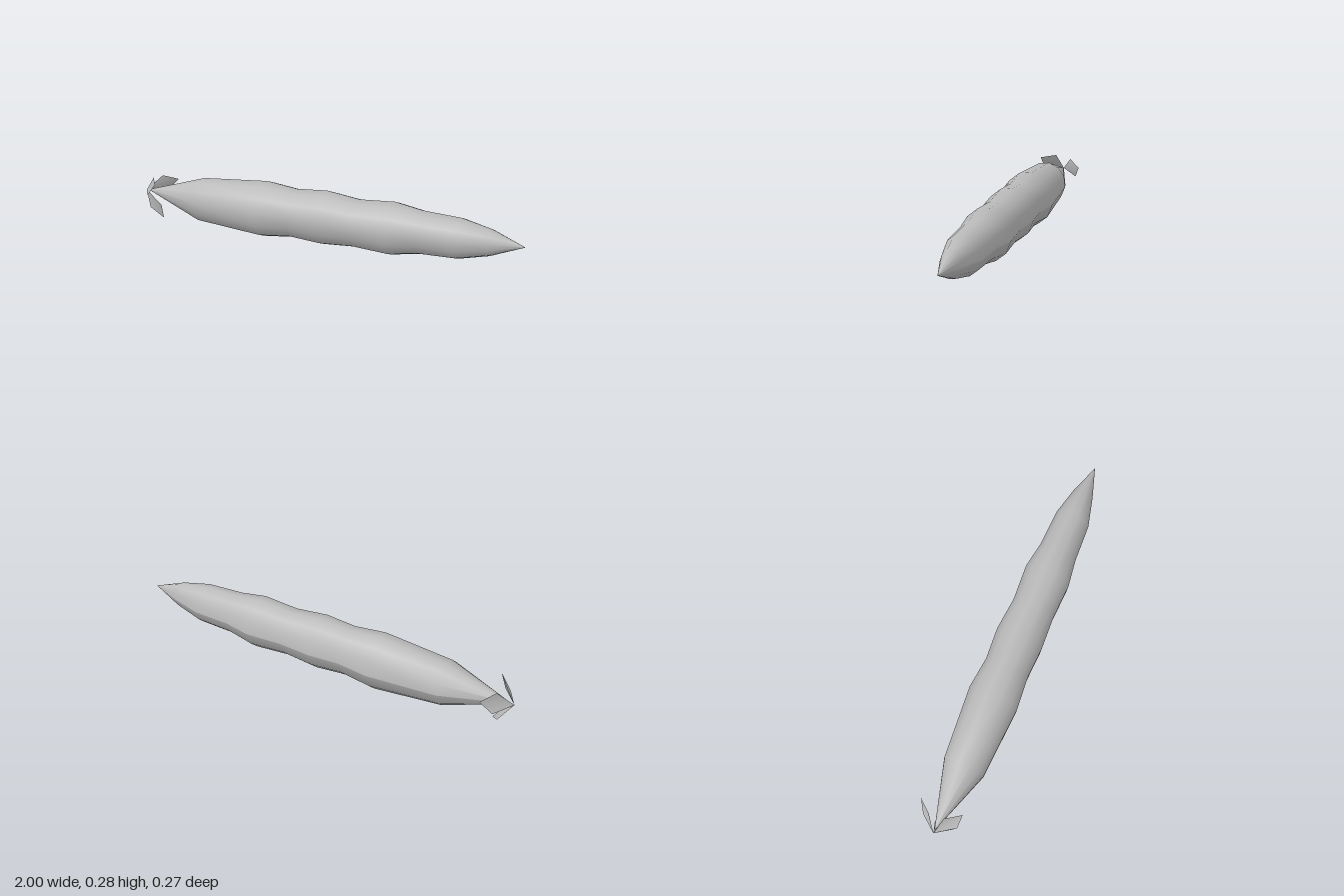
import * as THREE from 'three';

// Body cross-sections: x, centre y, centre z, half height, half depth
const SECTIONS = [
  [-0.98, 0.133, 0.029, 0.003, 0.003],
  [-0.66, 0.135, 0.022, 0.111, 0.105],
  [-0.31, 0.144, 0.005, 0.140, 0.129],
  [-0.15, 0.149, 0.0, 0.122, 0.113],
  [0.01, 0.153, -0.008, 0.134, 0.122],
  [0.18, 0.154, -0.012, 0.118, 0.110],
  [0.36, 0.159, -0.021, 0.130, 0.119],
  [0.5, 0.165, -0.025, 0.106, 0.098],
  [0.69, 0.168, -0.033, 0.099, 0.090],
  [0.84, 0.174, -0.040, 0.065, 0.053],
  [1.0, 0.18, -0.045, 0.001, 0.001],
];
const SIDES = 12;

function makeGeometry(positions, index) {
  const geometry = new THREE.BufferGeometry();
  geometry.setAttribute('position', new THREE.Float32BufferAttribute(positions, 3));
  geometry.setIndex(index);
  geometry.computeVertexNormals();
  return geometry;
}

// Twelve-sided pod with a lengthwise seam on its back
function podGeometry() {
  const positions = [], index = [];
  for (const [x, y, z, h, d] of SECTIONS) {
    for (let i = 0; i <= SIDES; i++) {
      const a = Math.PI + THREE.MathUtils.degToRad(8) + (i / SIDES) * Math.PI * 2;
      positions.push(x, y + h * Math.sin(a), z + d * Math.cos(a));
    }
  }
  const row = SIDES + 1;
  for (let s = 0; s < SECTIONS.length - 1; s++) {
    for (let i = 0; i < SIDES; i++) {
      const a = s * row + i, b = a + row;
      index.push(a, a + 1, b, a + 1, b + 1, b);
    }
  }
  return makeGeometry(positions, index);
}

// Folded diamond leaf, pointing along +z and flaring forward
function sepalGeometry() {
  return makeGeometry([
    0, 0, 0,
    0.065, 0.05, 0.075,
    0.118, 0, 0.125,
    0.065, -0.05, 0.075,
    0.072, 0, 0.062,
  ], [0, 4, 1, 1, 4, 2, 0, 3, 4, 3, 2, 4]);
}

export function createModel() {
  const model = new THREE.Group();
  const grey = new THREE.MeshStandardMaterial({ color: 0xbababa, side: THREE.DoubleSide });
  grey.name = 'pod grey';

  const pod = new THREE.Mesh(podGeometry(), grey);
  pod.name = 'pod';
  model.add(pod);

  // Three sepals around the stem end
  const sepals = new THREE.Group();
  sepals.name = 'sepals';
  sepals.position.set(-1, 0.13, 0.03);
  const leaf = sepalGeometry();
  for (const degrees of [40, 162, 284]) {
    const sepal = new THREE.Mesh(leaf, grey);
    sepal.name = 'sepal';
    sepal.rotation.x = -THREE.MathUtils.degToRad(degrees);
    sepals.add(sepal);
  }
  model.add(sepals);

  return model;
}
